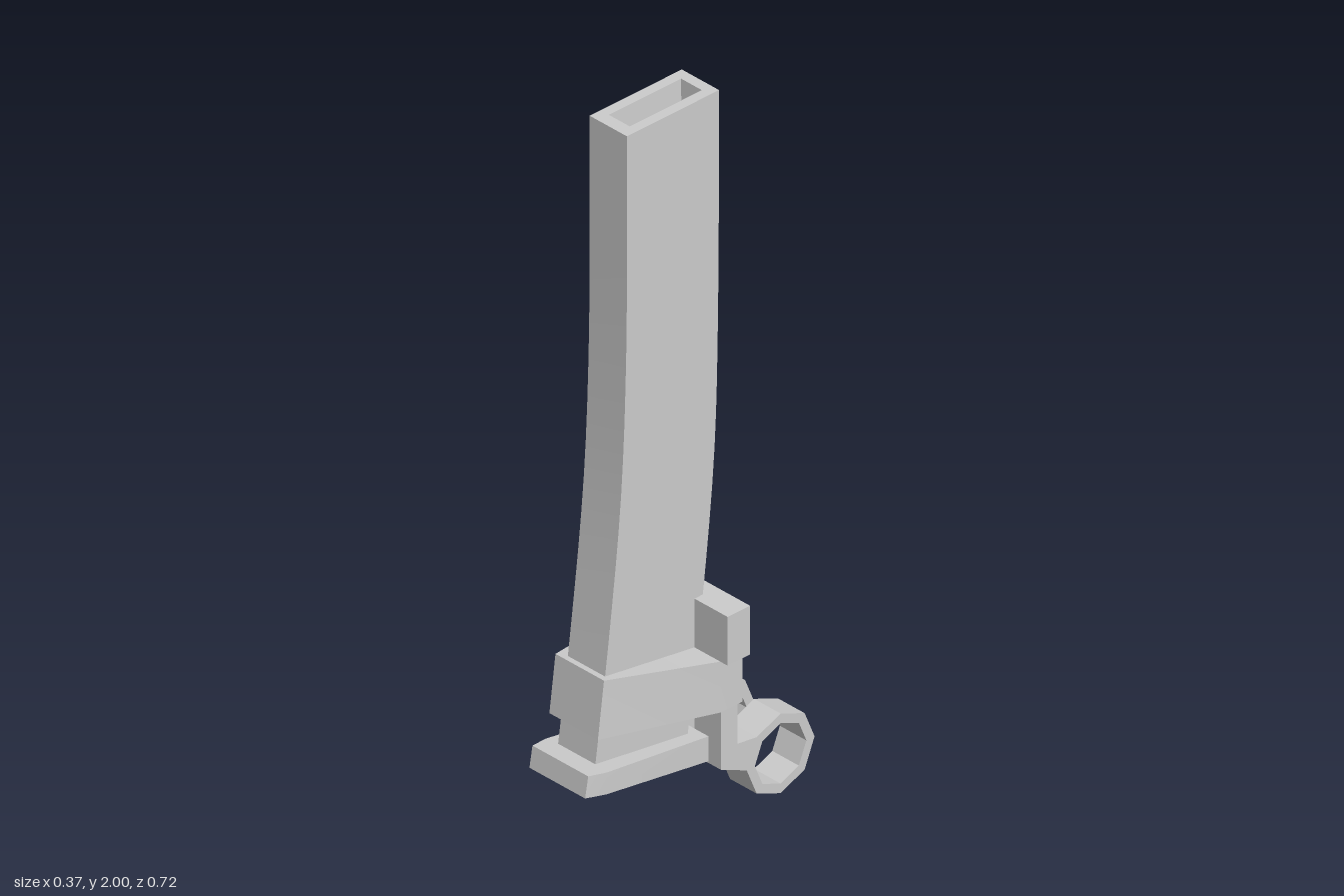
import * as THREE from 'three';
import { toCreasedNormals } from 'three/addons/utils/BufferGeometryUtils.js';

// Skin a stack of equal-length cross-sections and cap both ends
function loft(rings) {
  const pos = [];
  const tri = (a, b, c) => pos.push(...a, ...b, ...c);
  const n = rings[0].length;
  for (let i = 0; i < rings.length - 1; i++) {
    for (let j = 0; j < n; j++) {
      const k = (j + 1) % n;
      const [a, b, c, d] = [rings[i][j], rings[i][k], rings[i + 1][k], rings[i + 1][j]];
      tri(a, b, c);
      tri(a, c, d);
    }
  }
  const first = rings[0], last = rings[rings.length - 1];
  for (let j = 1; j < n - 1; j++) {
    tri(first[0], first[j + 1], first[j]);
    tri(last[0], last[j], last[j + 1]);
  }
  const geo = new THREE.BufferGeometry();
  geo.setAttribute('position', new THREE.Float32BufferAttribute(pos, 3));
  return toCreasedNormals(geo, 0.5);
}

// Rectangle across the column: front and back edges may differ in height
const section = (x0, x1, zf, yf, zb, yb) =>
  [[x0, yf, zf], [x1, yf, zf], [x1, yb, zb], [x0, yb, zb]];

// Rectangle facing the front: top and bottom edges may differ in depth
const frame = (cx, w, y0, z0, y1, z1) =>
  [[cx - w, y0, z0], [cx + w, y0, z0], [cx + w, y1, z1], [cx - w, y1, z1]];

export function createModel() {
  const group = new THREE.Group();
  const mat = new THREE.MeshStandardMaterial({ color: 0xcccccc });
  const add = (name, geo) => {
    const mesh = new THREE.Mesh(geo, mat);
    mesh.name = name;
    group.add(mesh);
    return mesh;
  };

  // Curved column with a tapered pocket sunk into its top
  const front = new THREE.CatmullRomCurve3([
    [0.25, 0.292], [0.6, 0.245], [1.0, 0.203], [1.4, 0.186], [2, 0.184],
  ].map(([y, z]) => new THREE.Vector3(0, y, z)));
  const back = new THREE.CatmullRomCurve3([
    [0.2, -0.012], [0.6, -0.066], [1.0, -0.105], [1.4, -0.117], [2, -0.12],
  ].map(([y, z]) => new THREE.Vector3(0, y, z)));
  const rings = [];
  for (let i = 0; i <= 16; i++) {
    const f = front.getPoint(i / 16), b = back.getPoint(i / 16);
    rings.push(section(-0.062, 0.067, f.z, f.y, b.z, b.y));
  }
  rings.push(section(-0.033, 0.039, 0.148, 2, -0.09, 2));
  rings.push(section(-0.022, 0.025, 0.132, 1.8, -0.082, 1.8));
  add('column', loft(rings));

  // Collar narrowing towards the front
  add('collar', loft([
    frame(-0.003, 0.16, 0.325, -0.112, 0.468, -0.112),
    frame(-0.003, 0.16, 0.325, -0.04, 0.468, -0.04),
    frame(-0.002, 0.084, 0.357, 0.294, 0.515, 0.274),
  ]));

  // Cross bar on the rear of the collar
  const bar = add('crossBar', new THREE.BoxGeometry(0.366, 0.137, 0.074));
  bar.position.set(-0.001, 0.5365, -0.076);

  // Sloping base plate with clipped front corners
  const plate = (yFront, zFront, yBack) => {
    const y = (z) => yBack + (yFront - yBack) * (z + 0.05) / (zFront + 0.05);
    return [[-0.088, zFront], [0.105, zFront], [0.114, 0.295], [0.104, -0.05],
      [-0.09, -0.05], [-0.098, 0.295]].map(([x, z]) => [x, y(z), z]);
  };
  add('basePlate', loft([plate(0.23, 0.358, 0.16), plate(0.288, 0.348, 0.23)]));

  // Hinge arms: a leg bending back into an eight-sided ring
  const ringPoint = (r, i) => new THREE.Vector2(
    0.247 + r * Math.cos(i * Math.PI / 4), 0.117 + r * Math.sin(i * Math.PI / 4));
  const outline = [new THREE.Vector2(0.05, 0.335), new THREE.Vector2(0.105, 0.335),
    new THREE.Vector2(0.105, 0.205)];
  for (let i = 3; i >= -4; i--) outline.push(ringPoint(0.112, i));
  outline.push(new THREE.Vector2(0.05, 0.155));
  const armShape = new THREE.Shape(outline);
  const hole = [];
  for (let i = 0; i < 8; i++) hole.push(ringPoint(0.085, i));
  armShape.holes.push(new THREE.Path(hole));
  const armGeo = new THREE.ExtrudeGeometry(armShape, { depth: 0.092, bevelEnabled: false });
  armGeo.rotateY(Math.PI / 2);
  add('rightHingeArm', armGeo).position.x = -0.151;
  add('leftHingeArm', armGeo).position.x = 0.055;

  return group;
}
